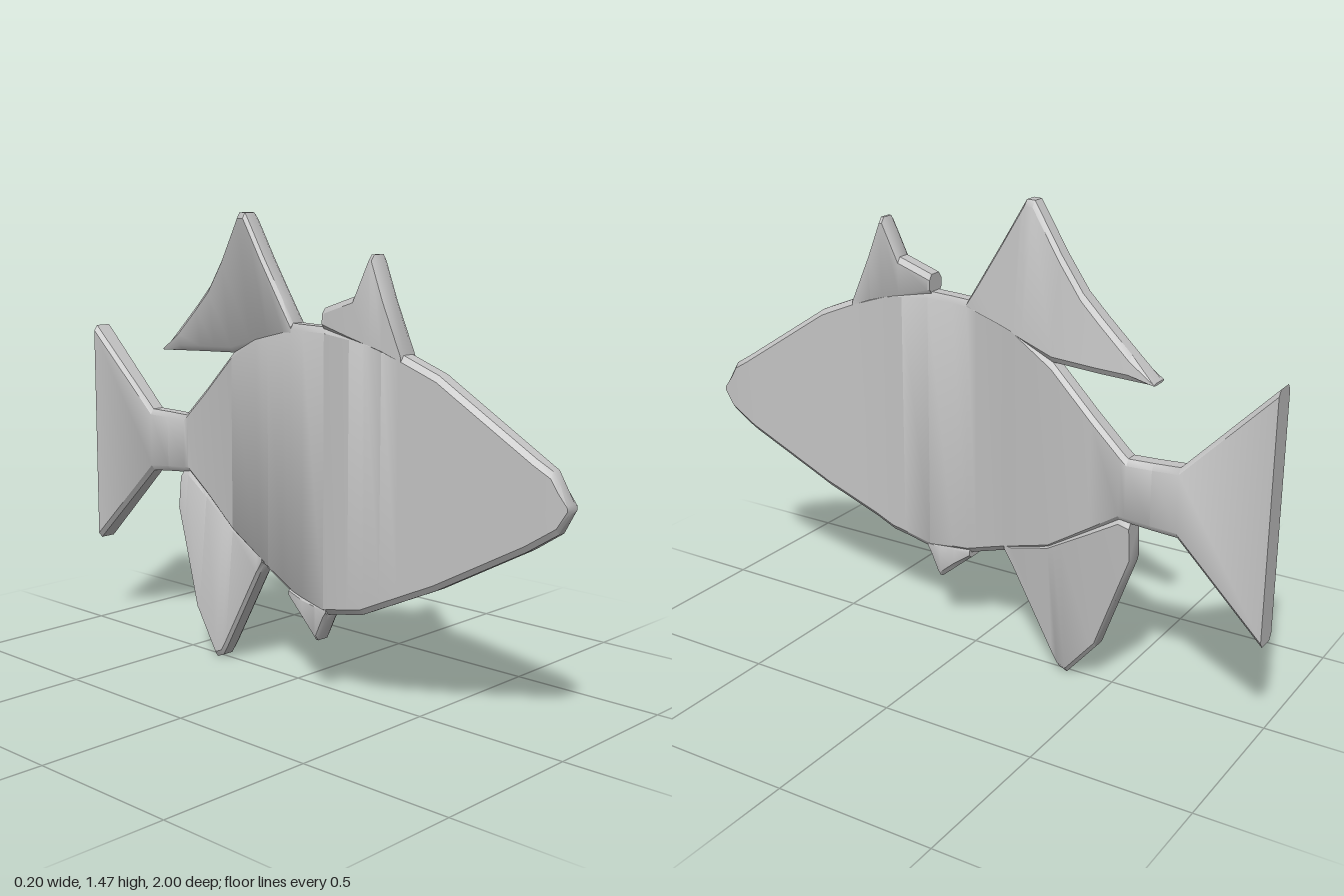
import * as THREE from 'three';
import { toCreasedNormals } from 'three/addons/utils/BufferGeometryUtils.js';

// Sideways swimming curve and half thickness along the length: [z, value], nose to tail
const bend = [[1, 0.007], [0.9, -0.003], [0.65, -0.037], [0.42, -0.066], [0.3, -0.069], [0.2, -0.067], [0.1, -0.054],
  [0, -0.035], [-0.08, -0.02], [-0.15, -0.002], [-0.3, 0.035], [-0.45, 0.058], [-0.55, 0.067], [-0.65, 0.065], [-1, 0.04]];
const thickness = [[1, 0.024], [0.9, 0.031], [0.6, 0.033], [-0.7, 0.033], [-1, 0.04]];

// Body outline: upper and lower edge heights
const back = [[1, 0.715], [0.95, 0.8], [0.9, 0.83], [0.6, 1.03], [0.48, 1.08], [0.36, 1.12], [0.2, 1.14],
  [0.04, 1.14], [-0.14, 1.1], [-0.3, 1.02], [-0.57, 0.785], [-0.73, 0.79], [-1, 1.065]];
const belly = [[1, 0.69], [0.97, 0.63], [0.88, 0.57], [0.6, 0.415], [0.35, 0.3], [0.2, 0.27],
  [0.04, 0.3], [-0.12, 0.36], [-0.3, 0.425], [-0.55, 0.59], [-0.73, 0.575], [-1, 0.295]];

// Linear lookup in a list ordered by falling z
function at(list, z) {
  if (z >= list[0][0]) return list[0][1];
  for (let i = 1; i < list.length; i++) {
    const [z0, v0] = list[i - 1], [z1, v1] = list[i];
    if (z >= z1) return v0 + (v1 - v0) * (z0 - z) / (z0 - z1);
  }
  return list[list.length - 1][1];
}

// Bevelled slab between two edges, following the bend; lean tilts it sideways away from the body
function slab(top, bottom, lean = 0) {
  const zMax = top[0][0], zMin = top[top.length - 1][0];
  const stations = [...new Set([...top, ...bottom, ...bend].map(p => p[0]))]
    .filter(z => z <= zMax && z >= zMin).sort((a, b) => b - a);
  const pos = [], idx = [], n = 8;
  for (const z of stations) {
    const hi = at(top, z), lo = at(bottom, z), w = at(thickness, z), c = w - 0.013;
    const b = Math.min(0.018, (hi - lo) * 0.3);
    const ring = [[w, lo + b], [w, hi - b], [c, hi], [-c, hi], [-w, hi - b], [-w, lo + b], [-c, lo], [c, lo]];
    for (const [x, y] of ring) {
      const away = Math.max(0, y - at(back, z), at(belly, z) - y);
      pos.push(x + at(bend, z) + lean * away, y, z);
    }
  }
  const last = (stations.length - 1) * n;
  for (let i = 0; i < last; i += n) {
    for (let j = 0; j < n; j++) {
      const a = i + j, b = i + (j + 1) % n;
      idx.push(a, a + n, b, b, a + n, b + n);
    }
  }
  // End caps
  for (let j = 1; j < n - 1; j++) idx.push(0, j, j + 1, last, last + j + 1, last + j);
  const geo = new THREE.BufferGeometry();
  geo.setAttribute('position', new THREE.Float32BufferAttribute(pos, 3));
  geo.setIndex(idx);
  return toCreasedNormals(geo, Math.PI / 5);
}

export function createModel() {
  const model = new THREE.Group();
  model.name = 'fish';
  const grey = new THREE.MeshStandardMaterial({ color: 0xc4c4c4 });
  grey.name = 'grey';
  const add = (name, top, bottom, lean) => {
    const mesh = new THREE.Mesh(slab(top, bottom, lean), grey);
    mesh.name = name;
    model.add(mesh);
  };

  add('bodyAndTail', back, belly);
  add('frontDorsalFin',
    [[0.485, 1.08], [0.375, 1.355], [0.365, 1.355], [0.31, 1.235], [0.19, 1.195]],
    [[0.485, 1.05], [0.3, 1.1], [0.19, 1.13]], 0.03);
  add('rearDorsalFin',
    [[0.04, 1.14], [-0.155, 1.467], [-0.185, 1.467], [-0.38, 1.23], [-0.63, 1.012]],
    [[0.04, 1.1], [-0.14, 1.06], [-0.3, 1.02], [-0.63, 1.005]], -0.14);
  add('bellyFin',
    [[0.21, 0.3], [0.03, 0.32]],
    [[0.21, 0.27], [0.165, 0.18], [0.155, 0.18], [0.03, 0.285]]);
  add('rearLowerFin',
    [[-0.12, 0.39], [-0.3, 0.45], [-0.55, 0.6], [-0.585, 0.59]],
    [[-0.12, 0.36], [-0.32, 0.012], [-0.35, 0], [-0.46, 0.13], [-0.585, 0.45]], -0.1);
  return model;
}
